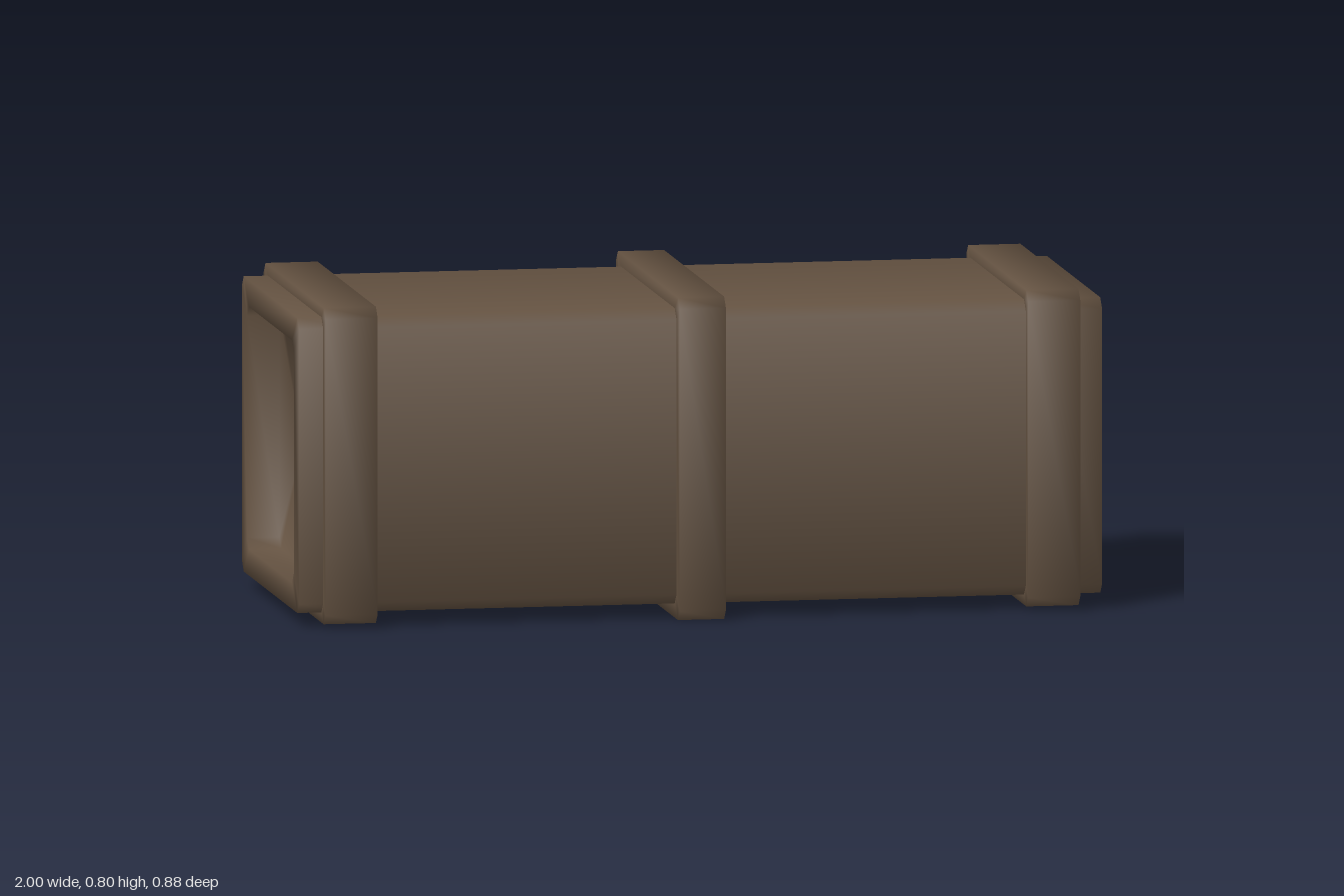
import * as THREE from 'three';

// Chamfered rectangle at station x, ordered from the top edge round to +z
function ring([x, hz, y0, y1], c = 0.025) {
  return [
    [y1, -hz + c], [y1, hz - c], [y1 - c, hz], [y0 + c, hz],
    [y0, hz - c], [y0, -hz + c], [y0 + c, -hz], [y1 - c, -hz],
  ].map(([y, z]) => new THREE.Vector3(x, y, z));
}

// Skin through the stations, with normals averaged equally over the adjoining faces
function loft(stations, capped) {
  const points = stations.flatMap((s) => ring(s));
  const index = [];
  const last = (stations.length - 1) * 8;
  for (let i = 0; i < last; i += 8) {
    for (let j = 0; j < 8; j++) {
      const a = i + j, b = i + (j + 1) % 8;
      index.push(a, b, b + 8, a, b + 8, a + 8);
    }
  }
  // Each cap is a fan round a middle point
  if (capped) {
    for (const [start, flip] of [[0, true], [last, false]]) {
      const [x, , y0, y1] = stations[start / 8];
      const middle = points.push(new THREE.Vector3(x, (y0 + y1) / 2, 0)) - 1;
      for (let j = 0; j < 8; j++) {
        const a = start + j, b = start + (j + 1) % 8;
        index.push(middle, flip ? b : a, flip ? a : b);
      }
    }
  }
  const normals = points.map(() => new THREE.Vector3());
  for (let k = 0; k < index.length; k += 3) {
    const ids = index.slice(k, k + 3);
    const [a, b, c] = ids.map((i) => points[i]);
    const e = [b.clone().sub(a), c.clone().sub(b), a.clone().sub(c)];
    const n = e[0].clone().cross(e[1]).normalize();
    ids.forEach((i, v) => normals[i].addScaledVector(n, Math.PI - e[v].angleTo(e[(v + 2) % 3])));
  }
  normals.forEach((n) => n.normalize());
  const geometry = new THREE.BufferGeometry();
  geometry.setAttribute('position', new THREE.Float32BufferAttribute(points.flatMap((p) => p.toArray()), 3));
  geometry.setAttribute('normal', new THREE.Float32BufferAttribute(normals.flatMap((n) => n.toArray()), 3));
  geometry.setIndex(index);
  return geometry;
}

export function createModel() {
  const group = new THREE.Group();
  const brown = new THREE.MeshStandardMaterial({ name: 'dark brown', color: 0x645241 });
  const add = (name, geometry) => {
    const mesh = new THREE.Mesh(geometry, brown);
    mesh.name = name;
    group.add(mesh);
  };

  // Square duct with a flat rim and a shallow recess at both ends
  const outer = [0.393, 0.035, 0.766], inner = [0.32, 0.1, 0.7];
  const depth = 0.08;
  add('ductBody', loft([
    [-1 + depth, ...inner], [-1, ...inner], [-1, ...outer], [-0.88, ...outer],
    [0.88, ...outer], [1, ...outer], [1, ...inner], [1 - depth, ...inner],
  ], true));

  // Raised bands wrapped round the duct
  const addBand = (name, x0, x1, ...size) => add(name, loft([
    [x0, ...outer], [x0, ...size], [x1, ...size], [x1, ...outer],
  ], false));
  addBand('middleBand', -0.06, 0.055, 0.438, 0, 0.798);
  addBand('leftEndBand', 0.81, 0.94, 0.425, 0.01, 0.793);
  addBand('rightEndBand', -0.94, -0.81, 0.425, 0.01, 0.793);

  return group;
}
